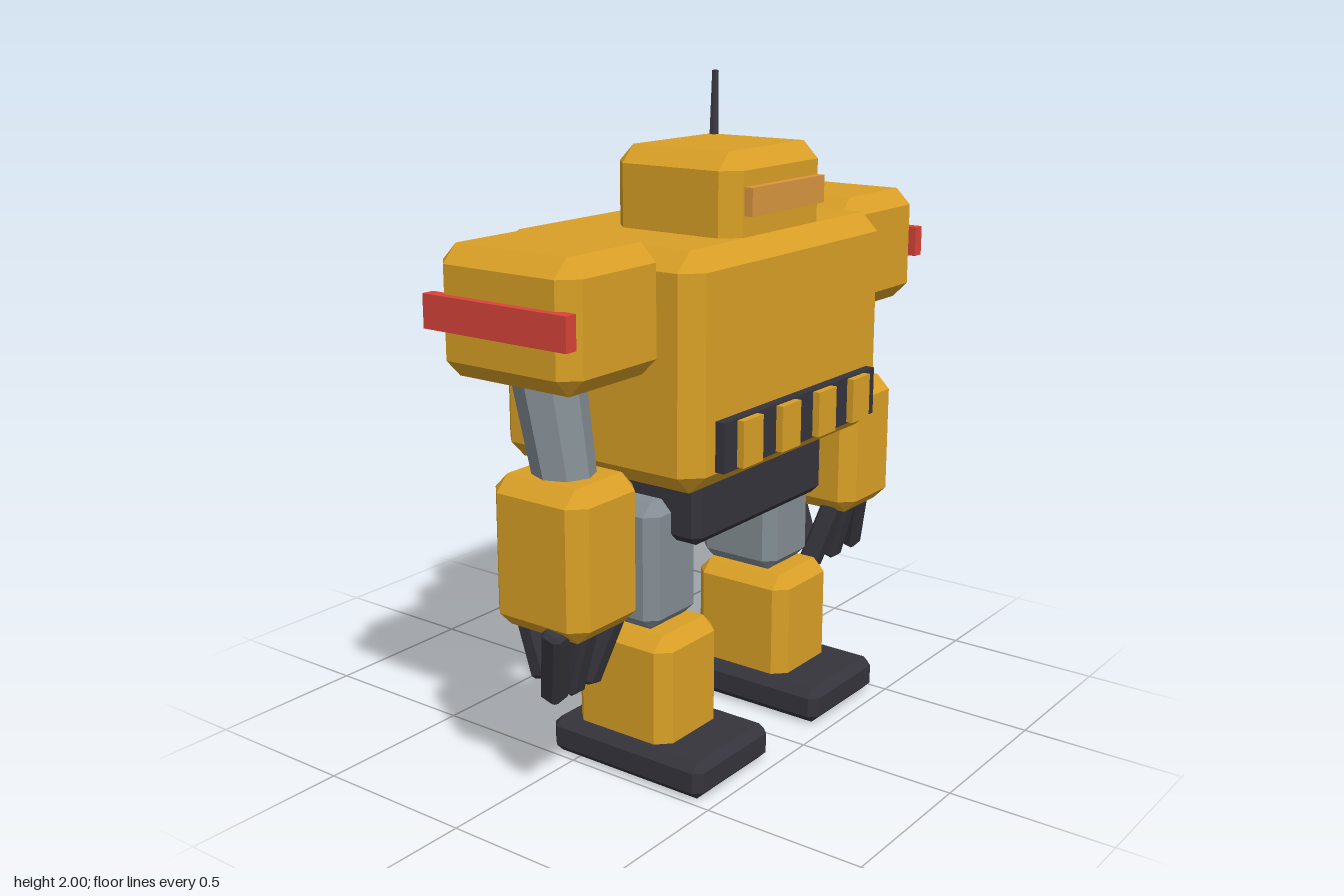
import * as THREE from 'three';
import { ConvexGeometry } from 'three/addons/geometries/ConvexGeometry.js';

const paint = (name, color) => {
  const m = new THREE.MeshStandardMaterial({ color });
  m.name = name;
  return m;
};

// Box with flat chamfers on every edge
function chamferBox(w, h, d, c) {
  const points = [];
  for (const x of [-1, 1]) for (const y of [-1, 1]) for (const z of [-1, 1]) {
    for (let axis = 0; axis < 3; axis++) {
      const inset = [c, c, c];
      inset[axis] = 0;
      points.push(new THREE.Vector3(
        x * (w / 2 - inset[0]), y * (h / 2 - inset[1]), z * (d / 2 - inset[2])));
    }
  }
  return new ConvexGeometry(points);
}

export function createModel() {
  const model = new THREE.Group();
  model.name = 'robot';

  const yellow = paint('yellow armour', 0xd9a026);
  const dark = paint('dark rubber', 0x35343c);
  const grey = paint('grey metal', 0x848e94);
  const red = paint('red stripe', 0xd8443a);
  const amber = paint('amber visor', 0xd9963f);

  function add(name, geometry, material, parent = model) {
    const mesh = new THREE.Mesh(geometry, material);
    mesh.name = name;
    parent.add(mesh);
    return mesh;
  }
  // Box given by its [min, max] ranges; chamfer 0 makes a plain box
  function block(name, material, [x0, x1], [y0, y1], [z0, z1], chamfer = 0, parent = model) {
    const size = [x1 - x0, y1 - y0, z1 - z0];
    const geometry = chamfer ? chamferBox(...size, chamfer) : new THREE.BoxGeometry(...size);
    const mesh = add(name, geometry, material, parent);
    mesh.position.set((x0 + x1) / 2, (y0 + y1) / 2, (z0 + z1) / 2);
    return mesh;
  }
  // Faceted rod between two points
  function rod(name, material, from, to, r0, r1, sides, parent = model) {
    const a = new THREE.Vector3(...from), b = new THREE.Vector3(...to);
    const dir = b.clone().sub(a);
    const geometry = new THREE.CylinderGeometry(r1, r0, dir.length(), sides).toNonIndexed();
    geometry.computeVertexNormals();
    const mesh = add(name, geometry, material, parent);
    mesh.position.copy(a).add(b).multiplyScalar(0.5);
    mesh.quaternion.setFromUnitVectors(new THREE.Vector3(0, 1, 0), dir.normalize());
    return mesh;
  }

  // Body and head
  block('torso', yellow, [-0.5, 0.5], [0.905, 1.58], [-0.272, 0.445], 0.055);
  block('pelvis', dark, [-0.335, 0.335], [0.7, 0.96], [-0.135, 0.34], 0.025);
  block('backpack', grey, [-0.22, 0.22], [1.045, 1.44], [-0.497, -0.22], 0.045);
  block('head', yellow, [-0.24, 0.24], [1.48, 1.815], [-0.05, 0.385], 0.05);
  block('visor', amber, [-0.185, 0.185], [1.64, 1.72], [0.36, 0.412]);
  rod('antenna', dark, [0.172, 1.78, 0.025], [0.235, 2, -0.016], 0.016, 0.011, 6);

  // Warning stripe across the belly
  block('hazardPlate', dark, [-0.4, 0.4], [0.965, 1.11], [0.43, 0.475]);
  for (const x of [-0.29, -0.097, 0.097, 0.29]) {
    block('hazardSquare', yellow, [x - 0.048, x + 0.048], [0.97, 1.105], [0.46, 0.497]);
  }

  for (const side of [1, -1]) {
    const label = side > 0 ? 'left' : 'right';

    // Arm
    const arm = new THREE.Group();
    arm.name = label + 'Arm';
    arm.position.x = side * 0.68;
    model.add(arm);
    block('shoulder', yellow, [-0.2, 0.2], [1.245, 1.605], [-0.14, 0.343], 0.05, arm);
    const stripe = side * 0.205;
    block('shoulderStripe', red, [stripe - 0.02, stripe + 0.02], [1.38, 1.475], [-0.145, 0.35], 0, arm);
    rod('upperArm', grey, [side * 0.008, 0.9, 0.165], [side * 0.008, 1.35, 0.078], 0.084, 0.106, 8, arm);

    // Forearm and hand
    const hand = new THREE.Group();
    hand.name = label + 'Hand';
    hand.position.set(side * 0.008, 0, 0.15);
    arm.add(hand);
    block('forearm', yellow, [-0.142, 0.142], [0.545, 0.982], [-0.165, 0.165], 0.045, hand);
    const fingerShape = chamferBox(0.065, 0.25, 0.065, 0.012);
    for (const i of [-1, 0, 1]) {
      const finger = add('finger', fingerShape, dark, hand);
      finger.position.set(i * 0.1, 0.465, 0.04);
      finger.rotation.set(0.27, 0, side * i * 0.25);
    }
    const thumb = add('thumb', fingerShape, dark, hand);
    thumb.position.set(0, 0.48, -0.125);
    thumb.rotation.x = -0.32;

    // Leg
    const leg = new THREE.Group();
    leg.name = label + 'Leg';
    leg.position.x = side * 0.307;
    model.add(leg);
    block('thigh', grey, [-0.117, 0.117], [0.44, 0.825], [-0.04, 0.245], 0.035, leg);
    block('shin', yellow, [-0.142, 0.142], [0.05, 0.438], [-0.04, 0.307], 0.04, leg);
    block('foot', dark, [-0.183, 0.183], [0, 0.112], [-0.097, 0.46], 0.025, leg);
  }

  return model;
}
